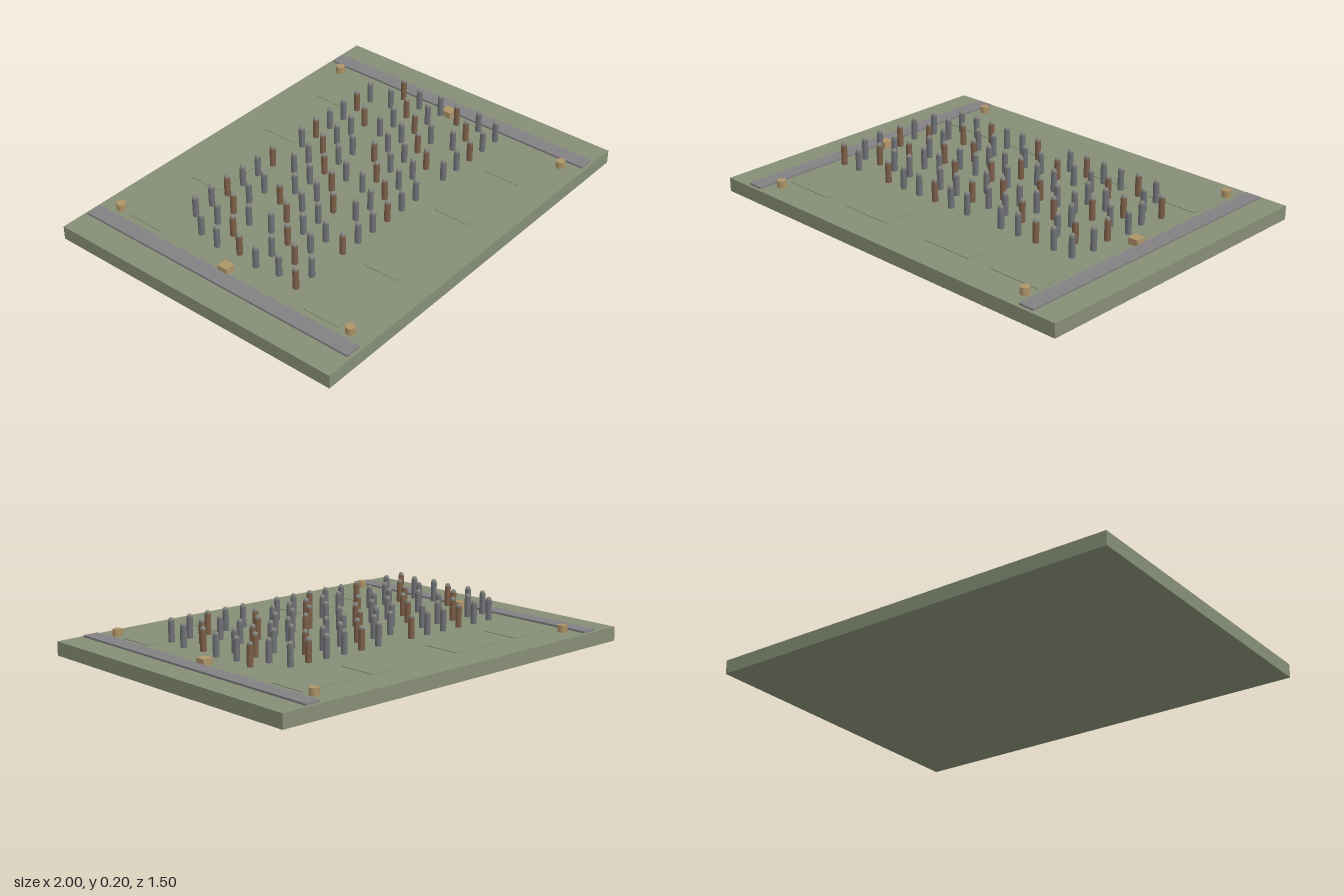
import * as THREE from 'three';

const mat = (name, color) => {
  const m = new THREE.MeshStandardMaterial({ color });
  m.name = name;
  return m;
};

export function createModel() {
  const group = new THREE.Group();
  group.name = 'drillField';

  const grass = mat('field green', 0x868e76);
  const road = mat('road grey', 0x828083);
  const sand = mat('sand', 0xae9468);
  const steel = mat('steel grey', 0x707276);
  const rust = mat('rust brown', 0x7d6049);
  const headGrey = mat('head grey', 0x85857f);

  const add = (name, geometry, material, x, y, z) => {
    const mesh = new THREE.Mesh(geometry, material);
    mesh.name = name;
    mesh.position.set(x, y, z);
    group.add(mesh);
    return mesh;
  };

  // Ground slab
  add('base', new THREE.BoxGeometry(2, 0.065, 1.5), grass, 0, 0.0325, 0);

  // Side strips, corner posts, side blocks and shallow ground plates
  const strip = new THREE.BoxGeometry(0.075, 0.01, 1.47);
  const post = new THREE.CylinderGeometry(0.022, 0.022, 0.033, 8);
  const block = new THREE.BoxGeometry(0.05, 0.03, 0.05);
  const plate = new THREE.BoxGeometry(0.26, 0.004, 0.18);
  for (const sx of [-1, 1]) {
    add('sideStrip', strip, road, sx * 0.835, 0.069, 0);
    add('sideBlock', block, sand, sx * 0.775, 0.08, 0);
    for (const sz of [-1, 1]) {
      add('cornerPost', post, sand, sx * 0.75, 0.0815, sz * 0.65);
      for (const x of [0.25, 0.63]) {
        add('groundPlate', plate, grass, sx * x, 0.066, sz * 0.5);
      }
    }
  }

  // Staggered rows of pegs with round heads, every seventh place left empty
  const body = new THREE.CylinderGeometry(0.014, 0.014, 0.092, 8);
  const head = new THREE.SphereGeometry(0.012, 10, 8);
  for (let row = 0; row < 7; row++) {
    for (let i = 0; i < 15; i++) {
      if ((i + 2 * row) % 7 === 0) continue;
      const x = -0.7 + 0.1 * i + (row % 2) * 0.02;
      const z = -0.34 + 0.11 * row;
      add('pegBody', body, (i + row) % 3 === 0 ? rust : steel, x, 0.136, z);
      add('pegHead', head, headGrey, x, 0.187, z);
    }
  }

  return group;
}
